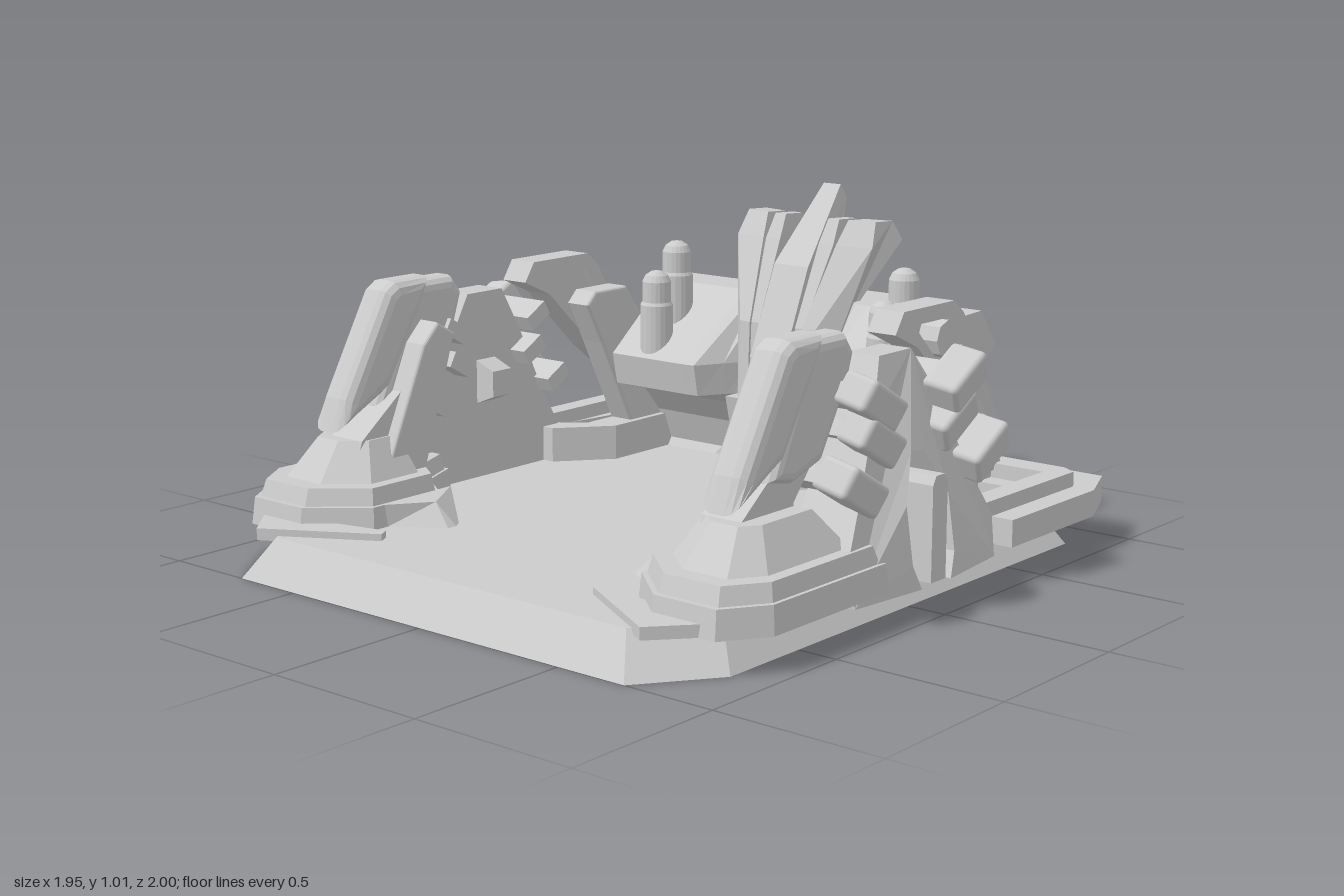
import * as THREE from 'three';
import { RoundedBoxGeometry } from 'three/addons/geometries/RoundedBoxGeometry.js';

const mat = new THREE.MeshStandardMaterial({ color: 0xcccccc, flatShading: true });
const smooth = new THREE.MeshStandardMaterial({ color: 0xcccccc });
const clamp = THREE.MathUtils.clamp;

function shapeOf(pts, hole) {
  const s = new THREE.Shape(pts.map(p => new THREE.Vector2(...p)));
  if (hole) s.holes.push(new THREE.Path(hole.map(p => new THREE.Vector2(...p))));
  return s;
}
function extrude(pts, depth, bevel, steps, hole) {
  const g = new THREE.ExtrudeGeometry(shapeOf(pts, hole), {
    depth: depth - 2 * bevel, steps, bevelEnabled: bevel > 0, bevelSize: bevel,
    bevelThickness: bevel, bevelOffset: -bevel, bevelSegments: 3,
  });
  return g.translate(0, 0, bevel);
}
// side profile of (z, y) points, swept from x0 to x1
const sideways = (pts, x0, x1, { bevel = 0, steps = 1, hole } = {}) =>
  extrude(pts, x1 - x0, bevel, steps, hole).rotateY(-Math.PI / 2).translate(x1, 0, 0);
// plan outline of (x, z) points, raised from y0 to y1
const upward = (pts, y0, y1, hole) =>
  extrude(pts.map(([x, z]) => [x, -z]), y1 - y0, 0, 1, hole && hole.map(([x, z]) => [x, -z]))
    .rotateX(-Math.PI / 2).translate(0, y0, 0);
const box = (w, h, d, x, y, z) => new THREE.BoxGeometry(w, h, d).translate(x, y, z);

// move every vertex by a rule
function reshape(g, rule) {
  const p = g.attributes.position, v = new THREE.Vector3();
  for (let i = 0; i < p.count; i++) {
    rule(v.fromBufferAttribute(p, i));
    p.setXYZ(i, v.x, v.y, v.z);
  }
  g.computeVertexNormals();
  return g;
}
// reflect a geometry in one axis, keeping its faces outward
function reflect(geo, axis) {
  const g = geo.index ? geo.toNonIndexed() : geo.clone();
  for (const a of [g.attributes.position, g.attributes.normal]) {
    for (let i = 0; i < a.count; i++) a.setComponent(i, axis, -a.getComponent(i, axis));
    for (let i = 0; i < a.count; i += 3) {
      for (let k = 0; k < 3; k++) {
        const t = a.getComponent(i + 1, k);
        a.setComponent(i + 1, k, a.getComponent(i + 2, k));
        a.setComponent(i + 2, k, t);
      }
    }
  }
  return g;
}

export function createModel() {
  const model = new THREE.Group();
  model.name = 'pavilion';
  const add = (name, geo, m = mat) => {
    const mesh = new THREE.Mesh(geo, m);
    mesh.name = name;
    model.add(mesh);
  };
  const pair = (name, geo, m) => {
    add(name + 'Left', geo, m);
    add(name + 'Right', reflect(geo, 0), m);
  };

  // sloped floor slab
  add('floor', reshape(upward([[-0.72, 1], [0.72, 1], [0.88, 0.78], [0.88, -0.83], [-0.88, -0.83], [-0.88, 0.78]], 0, 0.115), v => {
    if (v.y > 0.1) { v.x *= 0.915; v.z = v.z > 0 ? v.z * 0.92 : v.z + 0.06; }
  }));

  // curved rear console: overhanging back, sloped tops, set-back base, recessed middle
  const consoleProfile = [[-0.45, 0.36], [-0.43, 0.46], [-0.69, 0.67], [-0.9, 0.675], [-0.98, 0.565], [-0.88, 0.46], [-0.85, 0.38],
    [-0.86, 0.29], [-0.92, 0.18], [-0.92, 0.08], [-0.74, 0.08], [-0.7, 0.14], [-0.66, 0.24], [-0.59, 0.32]];
  add('rearConsole', reshape(sideways(consoleProfile, -0.57, 0.57, { steps: 24 }), v => {
    const ax = Math.abs(v.x);
    if (v.z > -0.72) v.z = -0.72 + (v.z + 0.72) * (0.1 + 0.9 * clamp((ax - 0.1) / 0.14, 0, 1));
    else v.z += 0.08 * clamp((ax - 0.26) / 0.1, 0, 1);
  }));
  add('pedestal', reshape(box(0.34, 0.25, 0.24, 0, 0.235, -0.63), v => {
    if (v.y < 0.2 && v.z > -0.6) v.z -= 0.06;
  }));
  add('frontStep', reshape(upward([[-0.22, -0.75], [-0.22, -0.58], [-0.08, -0.33], [0.08, -0.33], [0.22, -0.58], [0.22, -0.75]], 0.1, 0.18), v => {
    if (v.y > 0.15) { v.x *= 0.75; v.z -= 0.03; }
  }));

  // fan of spires: a tall centre and two flared blades on each side
  add('centreSpire', reshape(sideways([[-0.5, 0.36], [-0.5, 0.5], [-0.62, 0.78], [-0.83, 1.015], [-0.865, 0.97],
    [-0.8, 0.78], [-0.74, 0.6], [-0.72, 0.36]], -0.065, 0.065), v => {
    if (v.y > 0.9) v.x *= 0.5;
    else if (v.z < -0.65) v.x *= 0.7;
  }));
  const blade = [[-0.54, 0.36], [-0.55, 0.6], [-0.66, 0.85], [-0.7, 0.925], [-0.79, 0.92], [-0.82, 0.86], [-0.71, 0.62], [-0.66, 0.36]];
  const bladeEdges = { inner: [[0.07, 0.1], [0.075, 0.13]], outer: [[0.1, 0.145], [0.14, 0.26]] };
  for (const [side, [[a0, b0], [a1, b1]]] of Object.entries(bladeEdges)) {
    pair(side + 'Spire', reshape(sideways(blade, 0, 1), v => {
      const t = clamp((v.y - 0.6) / 0.25, 0, 1), taper = v.y > 0.9 ? 0.75 : 1;
      const a = a0 + (a1 - a0) * t, b = b0 + (b1 - b0) * t;
      v.x = (a + b) / 2 + (v.x - 0.5) * (b - a) * taper;
      if (side === 'outer') v.z -= (v.x - 0.14) * 0.2;
    }));
  }

  // domed posts on the consoles
  [[-0.595, 0.77], [-0.495, 0.685]].forEach(([z, top], i) => {
    const c = 0.052, b = top - 0.24;
    const pts = [[0, b], [c, b], [c, top - 0.06], [c - 0.006, top - 0.05], [c - 0.006, top + 0.015], [0.036, top + 0.035], [0.018, top + 0.047], [0, top + 0.05]];
    pair(i ? 'frontPost' : 'rearPost', new THREE.LatheGeometry(pts.map(p => new THREE.Vector2(...p)), 20).translate(0.44, 0, z));
  });

  // rear corner platforms with a raised rim
  pair('rearPlatform', upward([[0.97, -0.38], [0.97, -0.83], [0.9, -1], [0.48, -1], [0.32, -0.93], [0.4, -0.8], [0.58, -0.78], [0.58, -0.7],
    [0.8, -0.7], [0.85, -0.38]], 0.1, 0.18));
  pair('rearRim', upward([[0.9, -0.26], [0.9, -0.83], [0.85, -0.86], [0.55, -0.86], [0.55, -0.42], [0.68, -0.26]], 0.1, 0.225,
    [[0.83, -0.34], [0.83, -0.77], [0.65, -0.77], [0.65, -0.4], [0.72, -0.34]]));

  // rear leaning slab, and a frame around a sunken panel
  pair('rearSlab', sideways([[-0.31, 0.63], [-0.35, 0.67], [-0.5, 0.67], [-0.83, 0.2], [-0.53, 0.2], [-0.38, 0.5]], 0.57, 0.66, { bevel: 0.01 }));
  pair('rearFrame', sideways([[-0.11, 0.72], [-0.15, 0.78], [-0.4, 0.78], [-0.45, 0.74], [-0.64, 0.41], [-0.62, 0.365], [-0.56, 0.37],
    [-0.43, 0.47], [-0.22, 0.67]], 0.65, 0.745, { hole: [[-0.2, 0.735], [-0.39, 0.735], [-0.58, 0.42], [-0.53, 0.42], [-0.42, 0.52]] }));
  pair('framePanel', sideways([[-0.19, 0.74], [-0.4, 0.74], [-0.6, 0.41], [-0.53, 0.41], [-0.41, 0.51]], 0.67, 0.7));
  pair('frameDrum', new THREE.CylinderGeometry(0.055, 0.055, 0.09, 8).rotateZ(Math.PI / 2).translate(0.72, 0.68, -0.34));
  pair('frameBar', new THREE.BoxGeometry(0.07, 0.2, 0.05).rotateX(0.53).translate(0.72, 0.55, -0.46));

  // front feet: stacked plates, flared skirt, inner point and corner lip
  const footOutline = [[0.955, 0.2], [0.955, 0.7], [0.87, 0.83], [0.66, 0.83], [0.5, 0.69], [0.5, 0.42], [0.62, 0.34], [0.68, 0.2]];
  const tier = (s0, s1, y0, y1) => reshape(upward(footOutline, y0, y1), v => {
    const s = v.y > (y0 + y1) / 2 ? s1 : s0;
    v.x = 0.73 + (v.x - 0.73) * s;
    v.z = 0.5 + (v.z - 0.5) * s;
  });
  pair('footPlate', tier(1, 0.97, 0.1, 0.18));
  pair('footStep', tier(0.92, 0.87, 0.18, 0.23));
  pair('footSkirt', tier(0.72, 0.42, 0.22, 0.34));
  pair('footPoint', reshape(upward([[0.52, 0.36], [0.34, 0.5], [0.34, 0.54], [0.52, 0.66]], 0.1, 0.18), v => {
    if (v.y > 0.15 && v.x < 0.45) { v.x += 0.08; v.z = 0.52; }
  }));
  pair('cornerLip', upward([[0.72, 0.94], [0.4, 0.755], [0.42, 0.72], [0.6, 0.76], [0.93, 0.7]], 0.1, 0.135));

  // front pillars: lower leg, inner brace and two leaning pods
  pair('frontLeg', sideways([[0.28, 0.55], [0.42, 0.48], [0.6, 0.34], [0.64, 0.24], [0.38, 0.24], [0.38, 0.35], [0.28, 0.47]], 0.64, 0.77));
  pair('innerBrace', sideways([[0.25, 0.62], [0.32, 0.66], [0.38, 0.6], [0.55, 0.22], [0.38, 0.22]], 0.6, 0.69, { bevel: 0.01 }));
  pair('frontPod', sideways([[0.655, 0.365], [0.62, 0.46], [0.45, 0.76], [0.41, 0.785], [0.27, 0.785], [0.3, 0.7], [0.44, 0.47], [0.48, 0.45]],
    0.67, 0.795, { bevel: 0.04 }));
  pair('rearPod', sideways([[0.34, 0.775], [0.17, 0.775], [0.13, 0.72], [0.16, 0.63], [0.27, 0.44], [0.4, 0.4], [0.5, 0.42]],
    0.675, 0.79, { bevel: 0.035 }));

  // side arches, leaning inward, with a deep pointed niche and a fin
  const arch = [[0.075, 0.7], [0.16, 0.55], [0.25, 0.36], [0.345, 0.2], [0.335, 0.08], [0.07, 0.08], [0.1, 0.15], [0.1, 0.31], [0.03, 0.44]];
  const archOutline = [...arch, ...arch.slice().reverse().map(([z, y]) => [-z, y])];
  pair('sideArch', reshape(sideways(archOutline, 0.72, 0.97), v => {
    if (v.x > 0.9) v.x -= v.y < 0.32 ? (v.y - 0.08) * 0.15 : 0.036 + (v.y - 0.32) * 0.3;
    if (v.x > 0.75 && Math.abs(v.z) > 0.2) v.x -= 0.03;
  }));
  pair('nicheBack', box(0.06, 0.38, 0.2, 0.75, 0.27, 0));
  pair('nicheFin', sideways([[0.035, 0.09], [0.035, 0.36], [0.02, 0.385], [-0.02, 0.385], [-0.035, 0.36], [-0.035, 0.09]], 0.77, 0.975));
  pair('innerTab', reshape(box(0.1, 0.16, 0.08, 0.7, 0.42, 0), v => { if (v.x < 0.68) v.y = 0.42 + (v.y - 0.42) * 0.5; }));

  // knuckle blocks on both flanks of each arch, tied to the inside by rods
  [[0.885, 0.605, 0.2, 0.11], [0.875, 0.5, 0.18, 0.1], [0.895, 0.395, 0.3, 0.12]].forEach(([x, y, z, w], i) => {
    const g = new RoundedBoxGeometry(w, 0.095, 0.18, 2, 0.016).rotateZ(-0.2).rotateX(-0.52).translate(x, y, z);
    pair('frontKnuckle' + i, g, smooth);
    pair('rearKnuckle' + i, reflect(g, 2), smooth);
    const rod = new THREE.BoxGeometry(0.18, 0.05, 0.09).rotateX(-0.52).translate(0.75, y, z * 0.9);
    pair('frontRod' + i, rod);
    pair('rearRod' + i, reflect(rod, 2));
  });

  return model;
}
